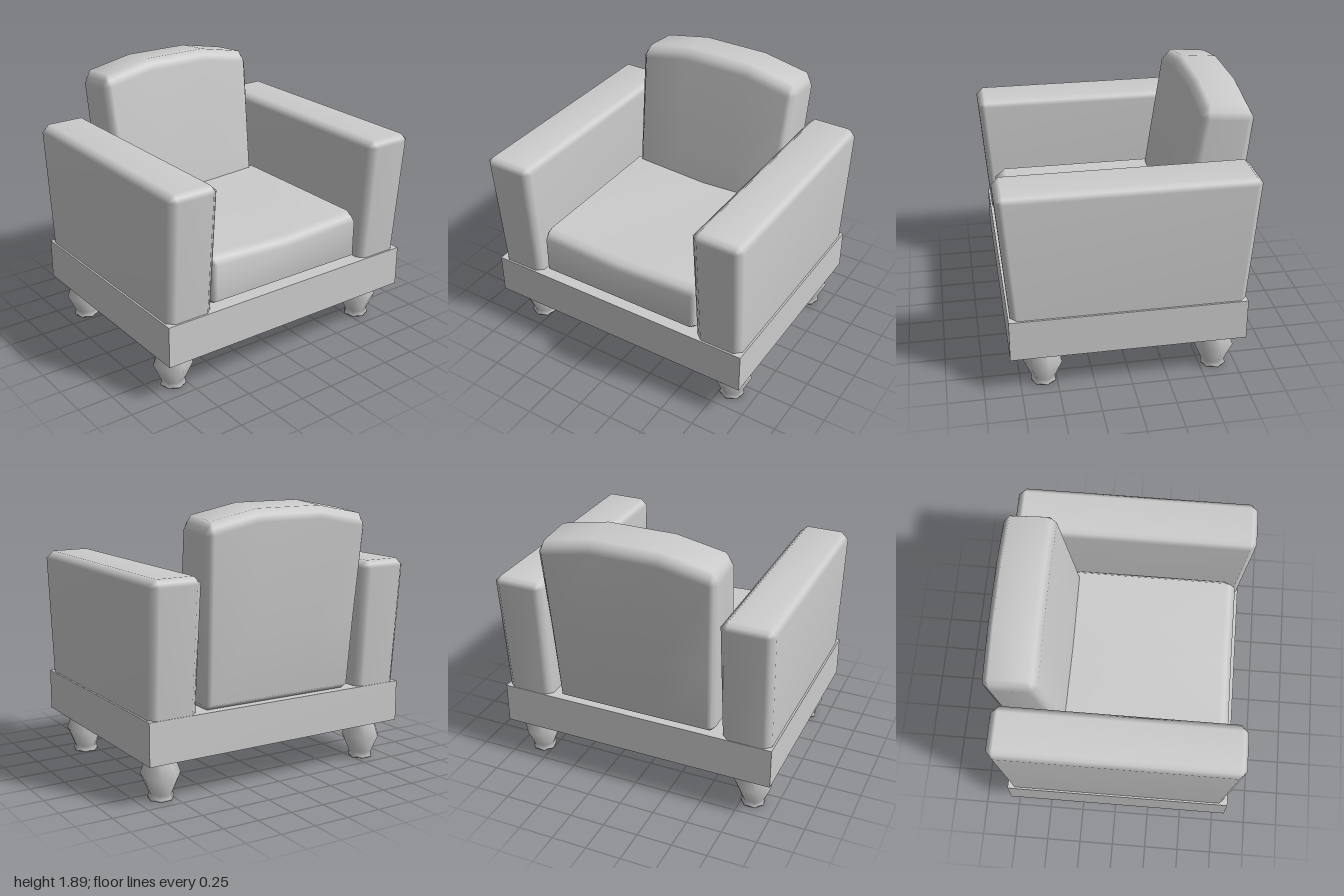
import * as THREE from 'three';
import { mergeVertices } from 'three/addons/utils/BufferGeometryUtils.js';

const material = new THREE.MeshStandardMaterial({ color: 0xcccccc });

function addMesh(parent, name, geometry) {
  const mesh = new THREE.Mesh(geometry, material);
  mesh.name = name;
  parent.add(mesh);
  return mesh;
}

// Box with chamfered, smoothly shaded edges. Each list holds the grid lines of
// one axis; the first and last gap set the chamfer. warp(v) then bends it.
function softBox(xs, ys, zs, warp) {
  const lines = [xs, ys, zs];
  const counts = lines.map((l) => l.length - 1);
  const geometry = new THREE.BoxGeometry(1, 1, 1, ...counts);
  geometry.deleteAttribute('uv');
  geometry.deleteAttribute('normal');
  const pos = geometry.attributes.position;
  const v = new THREE.Vector3();
  for (let i = 0; i < pos.count; i++) {
    v.fromBufferAttribute(pos, i);
    const index = counts.map((n, a) => Math.round((v.getComponent(a) + 0.5) * n));
    const extremes = index.filter((k, a) => k === 0 || k === counts[a]).length;
    const pull = [0, 0, 0.5, 0.62][extremes];
    lines.forEach((l, a) => {
      const k = index[a], n = counts[a];
      let value = l[k];
      if (k === 0) value += (l[1] - l[0]) * pull;
      if (k === n) value -= (l[n] - l[n - 1]) * pull;
      v.setComponent(a, value);
    });
    if (warp) warp(v);
    pos.setXYZ(i, v.x, v.y, v.z);
  }
  const merged = mergeVertices(geometry, 1e-4);
  merged.computeVertexNormals();
  return merged;
}

export function createModel() {
  const chair = new THREE.Group();
  chair.name = 'armchair';

  // Plain base frame
  addMesh(chair, 'base', new THREE.BoxGeometry(2, 0.29, 1.6)).position.set(0, 0.435, 0.02);

  // Turned legs
  const profile = [[0, 0], [0.088, 0], [0.088, 0.012], [0.082, 0.04], [0.137, 0.165], [0.092, 0.29]]
    .map(([r, y]) => new THREE.Vector2(r, y));
  for (const x of [-0.83, 0.83]) {
    for (const z of [-0.6, 0.59]) {
      addMesh(chair, 'leg', new THREE.LatheGeometry(profile, 7)).position.set(x, 0, z);
    }
  }

  // Arms, longer at the top than at the base
  for (const side of [-1, 1]) {
    const arm = softBox(
      [-0.183, -0.13, 0.13, 0.183], [0.52, 0.57, 1.425, 1.475], [-0.855, -0.805, 0.805, 0.855],
      (v) => {
        const t = THREE.MathUtils.clamp((v.y - 0.58) / 0.85, 0, 1);
        v.z *= 0.925 + 0.075 * t;
        v.x *= 0.94 + 0.06 * t;
      });
    addMesh(chair, side > 0 ? 'leftArm' : 'rightArm', arm).position.set(side * 0.815, 0, 0.015);
  }

  // Seat cushion, sagging along the middle
  addMesh(chair, 'seatCushion', softBox(
    [-0.63, -0.59, 0, 0.59, 0.63], [0.575, 0.62, 0.88, 0.94], [-0.46, -0.41, 0.7, 0.775],
    (v) => {
      if (v.y > 0.75) v.y -= 0.03 * (1 - Math.abs(v.x) / 0.63);
    }));

  // Back cushion: leaning, widening upwards, with an arched top edge
  addMesh(chair, 'backCushion', softBox(
    [-0.6, -0.555, -0.23, 0.23, 0.555, 0.6], [0.57, 0.62, 1.1, 1.82, 1.9], [0, 0.15, 0.85, 1],
    (v) => {
      const t = (v.y - 0.58) / 1.24;
      const front = -0.34 - 0.168 * t;
      const back = -0.77 - 0.1 * t;
      const depth = v.z;
      v.z = back + (front - back) * depth;
      v.x *= 0.975 + 0.065 * Math.min(t, 1);
      if (v.y > 1.5) {
        v.y -= 0.07 * Math.max(0, (Math.abs(v.x) - 0.23) / 0.36);
        v.y -= 0.03 * (1 - depth);
      }
    }));

  return chair;
}
